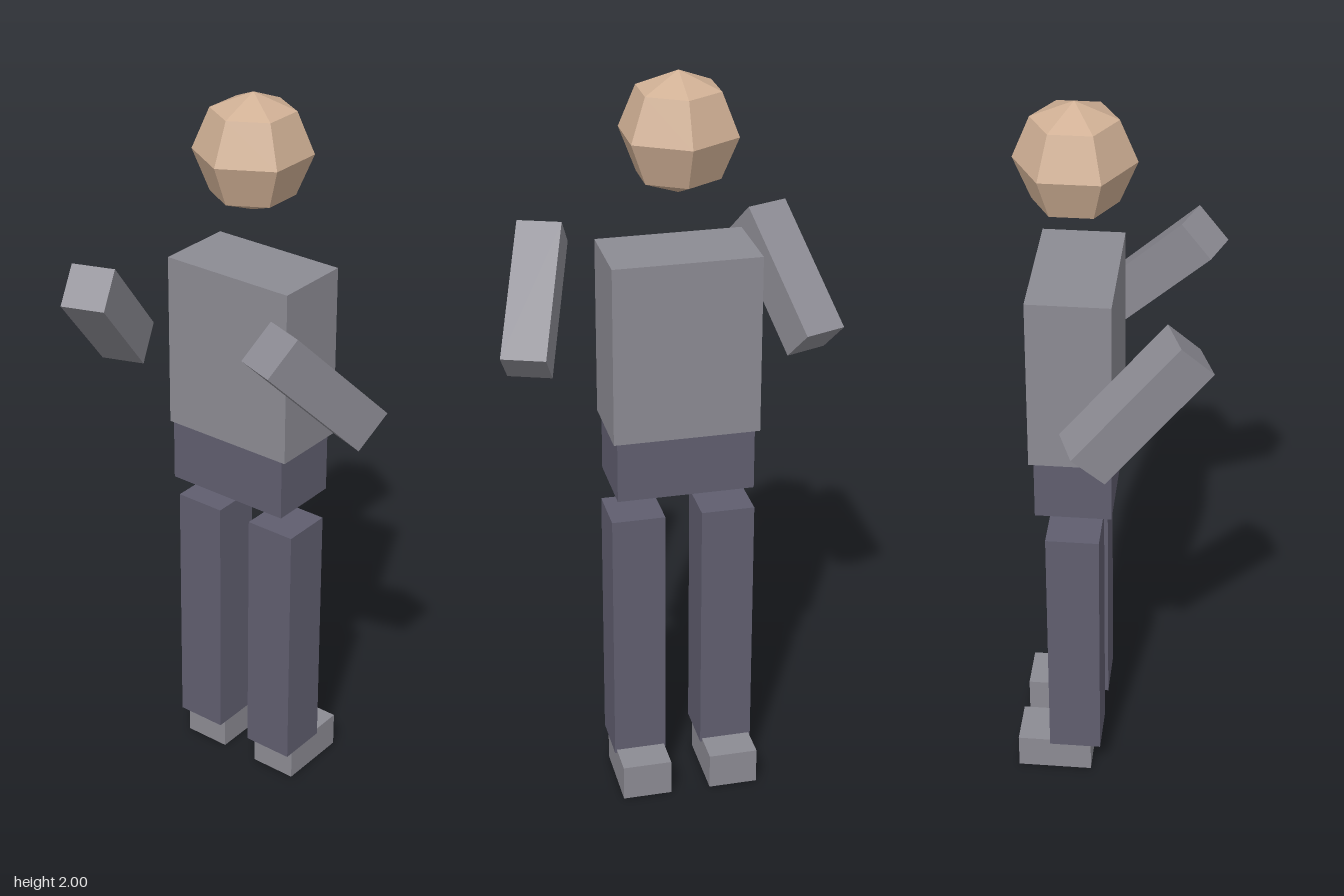
import * as THREE from 'three';

const material = (name, color) => {
  const m = new THREE.MeshStandardMaterial({ color });
  m.name = name;
  return m;
};

export function createModel() {
  const grey = material('shirt grey', 0x8c8b93);
  const navy = material('trouser slate', 0x605e6f);
  const skin = material('skin tan', 0xd0b095);
  skin.flatShading = true;

  const model = new THREE.Group();
  model.name = 'blockFigure';

  const add = (name, geometry, mat, x, y, z) => {
    const mesh = new THREE.Mesh(geometry, mat);
    mesh.name = name;
    mesh.position.set(x, y, z);
    model.add(mesh);
    return mesh;
  };
  const box = (w, h, d) => new THREE.BoxGeometry(w, h, d);

  // Head: six-sided faceted ball with a corner facing forward
  const head = add('head', new THREE.SphereGeometry(0.156, 6, 4), skin, 0, 1.844, -0.105);
  head.rotation.y = Math.PI / 2;

  // Trunk
  add('torso', box(0.386, 0.481, 0.217), grey, 0, 1.3, -0.106);
  add('hips', box(0.364, 0.17, 0.203), navy, 0, 0.975, -0.101);

  // Limbs, mirrored
  for (const [side, s] of [['left', 1], ['right', -1]]) {
    // Arm raised forward at 45 degrees and turned inward
    const arm = add(side + 'Arm', box(0.119, 0.12, 0.388), grey, s * 0.339, 1.36, 0.076);
    arm.rotation.set(-Math.PI / 4, -s * THREE.MathUtils.degToRad(20), 0, 'YXZ');

    add(side + 'Leg', box(0.143, 0.725, 0.143), navy, s * 0.121, 0.452, -0.104);
    add(side + 'Foot', box(0.133, 0.1, 0.206), grey, s * 0.121, 0.05, -0.163);
  }
  return model;
}
